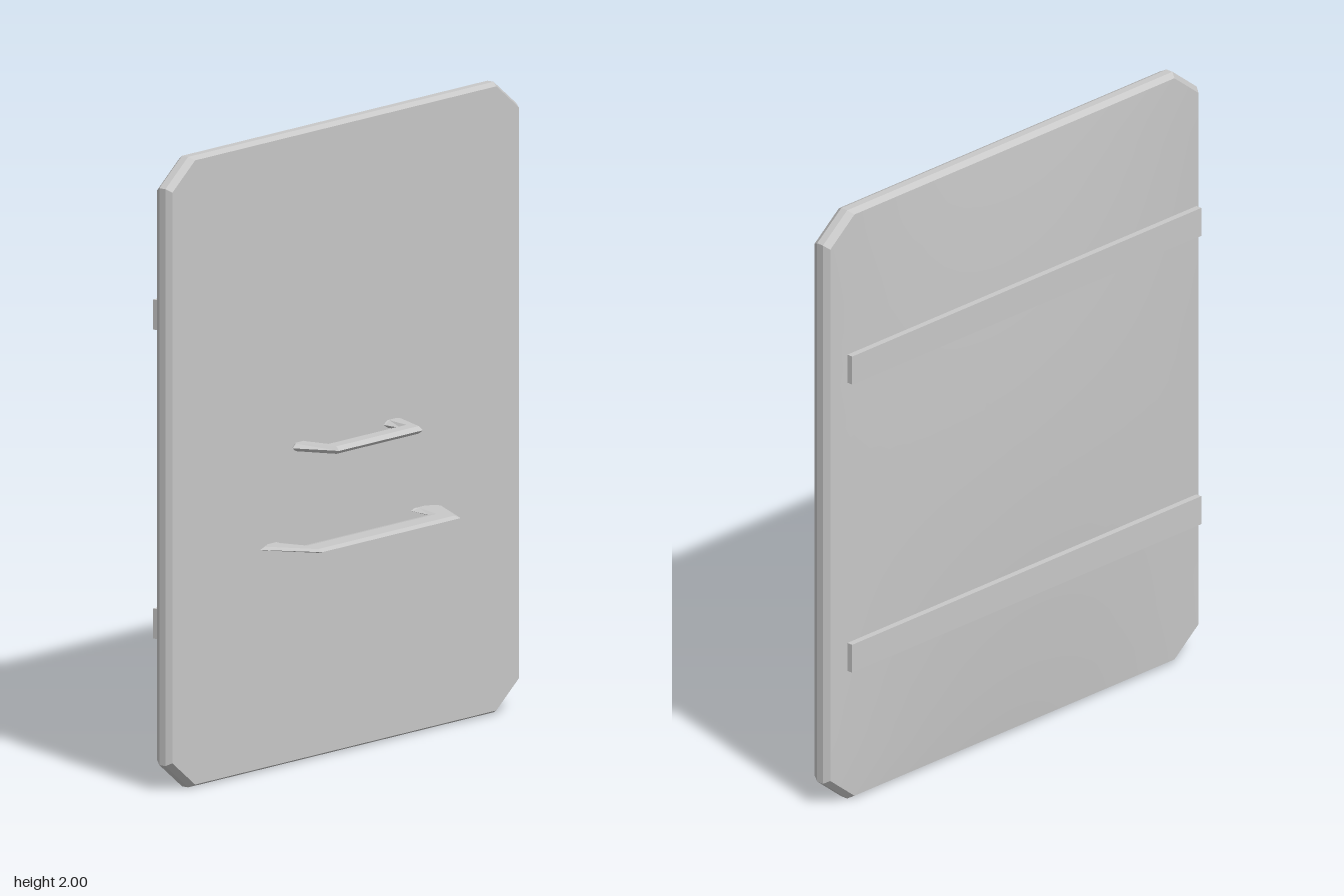
import * as THREE from 'three';

// Skin between closed rings of [x, y, z] points, wound counter-clockwise about the travel direction
function loft(rings, smooth = false) {
  const n = rings[0].length;
  const index = [];
  for (let r = 0; r < rings.length - 1; r++) {
    for (let i = 0; i < n; i++) {
      const a = r * n + i, b = r * n + (i + 1) % n;
      index.push(a, b, b + n, a, b + n, a + n);
    }
  }
  let geometry = new THREE.BufferGeometry();
  geometry.setAttribute('position', new THREE.Float32BufferAttribute(rings.flat(2), 3));
  geometry.setIndex(index);
  if (!smooth) geometry = geometry.toNonIndexed();
  geometry.computeVertexNormals();
  return geometry;
}

const HALF_W = 0.835, HALF_H = 1;

// Rectangle with clipped corners, counter-clockwise seen from the front
function outline(inset, z, centre = false) {
  const w = HALF_W - inset, h = HALF_H - inset, cx = 0.108, cy = 0.085;
  return [
    [w, -h + cy], [w, h - cy], [w - cx, h], [-w + cx, h],
    [-w, h - cy], [-w, -h + cy], [-w + cx, -h], [w - cx, -h],
  ].map(([x, y]) => (centre ? [0, 1, z] : [x, y + 1, z]));
}

// Shallow bulge on the back of the board
function domeGeometry() {
  const steps = 10, corners = outline(0.012, 0), border = [];
  corners.forEach((p, i) => {
    const q = corners[(i + 1) % 8];
    const parts = i % 2 ? 2 : 12;
    for (let k = 0; k < parts; k++) {
      const s = k / parts;
      border.push([p[0] + (q[0] - p[0]) * s, p[1] - 1 + (q[1] - p[1]) * s]);
    }
  });
  const rings = [];
  for (let k = 0; k <= steps; k++) {
    const t = k / steps;
    rings.push(border.map(([x, y]) => {
      const u = x * t / HALF_W, v = y * t / HALF_H;
      const bulge = k === steps ? 0 : 0.038 * (1 - u * u) * (1 - v * v);
      return [x * t, y * t + 1, -0.1 - bulge];
    }));
  }
  return loft(rings, true);
}

// Grip: each station is [innerX, innerZ, outerX, outerZ] for the left half, then mirrored
function gripGeometry(half, y, h) {
  const mirrored = half.slice().reverse().map(([a, b, c, d]) => [-a, b, -c, d]);
  const section = [[0, 0], [0.25, h], [0.8, h], [1, 0], [0.8, -h], [0.25, -h]];
  return loft([...half, ...mirrored].map(([ix, iz, ox, oz]) =>
    section.map(([w, dy]) => [ix + (ox - ix) * w, y + dy, iz + (oz - iz) * w])));
}

export function createModel() {
  const group = new THREE.Group();
  const grey = new THREE.MeshStandardMaterial({ color: 0xc8c8c8 });
  grey.name = 'plain grey';

  const add = (name, geometry) => {
    const mesh = new THREE.Mesh(geometry, grey);
    mesh.name = name;
    group.add(mesh);
    return mesh;
  };

  // Board with bevelled rim and flat front
  add('board', loft([
    outline(0.012, -0.1), outline(0, -0.08), outline(0, -0.055),
    outline(0.01, -0.035), outline(0, -0.035, true),
  ]));
  add('backDome', domeGeometry());

  // Two straps across the back
  for (const [name, y] of [['upperStrap', 1.495], ['lowerStrap', 0.515]]) {
    add(name, new THREE.BoxGeometry(1.56, 0.095, 0.021)).position.set(0, y, -0.1425);
  }

  // Two grips on the front
  add('smallGrip', gripGeometry([
    [-0.18, -0.038, -0.25, -0.038],
    [-0.18, -0.03, -0.265, -0.025],
    [-0.18, 0.035, -0.2, 0.11],
  ], 1.004, 0.012));
  add('largeGrip', gripGeometry([
    [-0.31, -0.038, -0.38, -0.038],
    [-0.31, -0.03, -0.43, -0.015],
    [-0.3, 0.045, -0.33, 0.152],
  ], 0.71, 0.006));

  return group;
}
